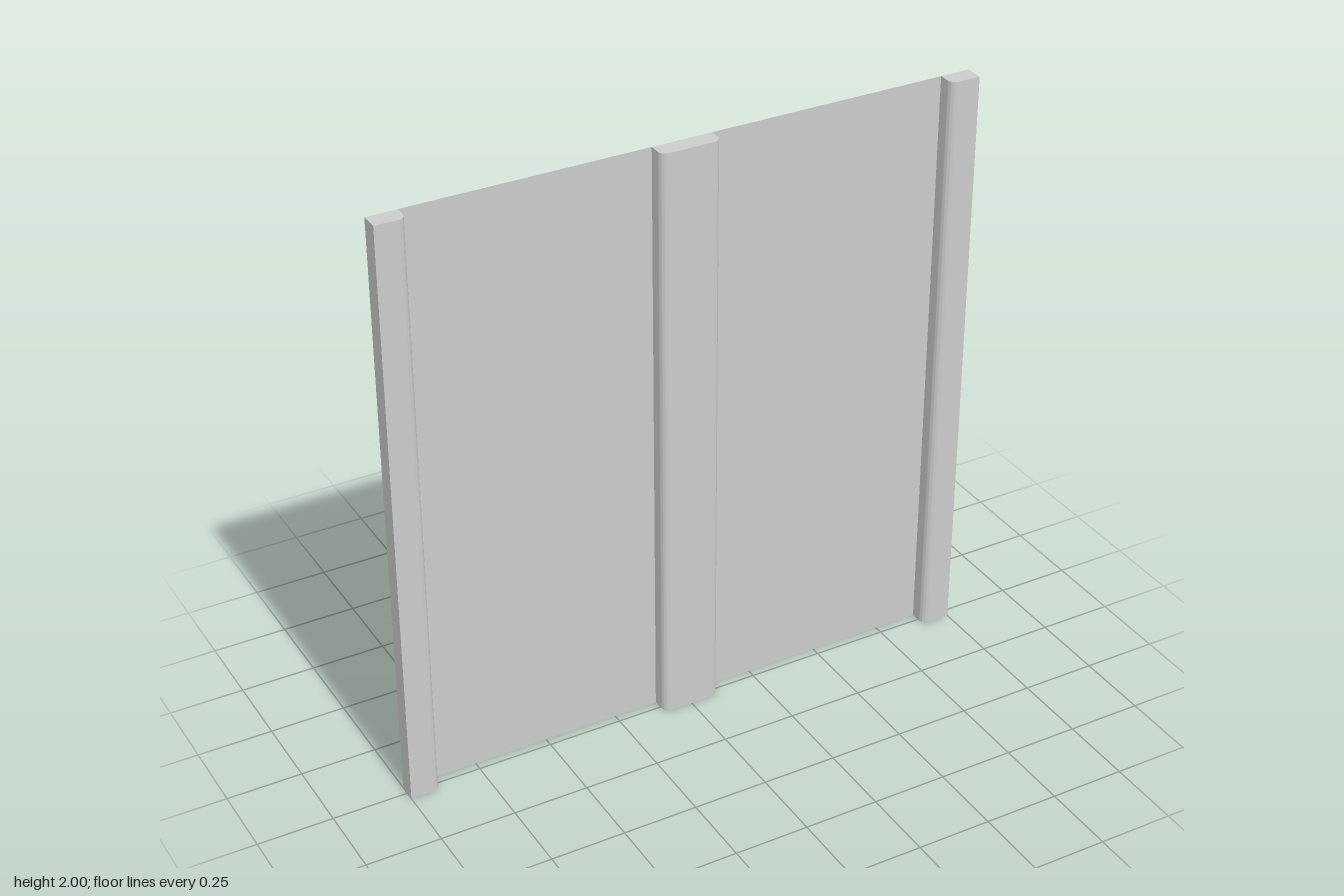
import * as THREE from 'three';
import { toCreasedNormals } from 'three/addons/utils/BufferGeometryUtils.js';

const HEIGHT = 2, BACK = -0.03, FRONT = 0.03, RADIUS = 0.025;

// Upright strip from x0 to x1, with its chosen front edges rounded over
function batten(name, x0, x1, roundLeft, roundRight, material) {
  const a = roundLeft ? RADIUS : 0;
  const b = roundRight ? RADIUS : 0;
  const s = new THREE.Shape(); // plan outline, shape y = -z
  s.moveTo(x0, -BACK);
  s.lineTo(x0, -FRONT + a);
  if (a) s.absarc(x0 + a, -FRONT + a, a, Math.PI, Math.PI * 1.5, false);
  s.lineTo(x1 - b, -FRONT);
  if (b) s.absarc(x1 - b, -FRONT + b, b, Math.PI * 1.5, Math.PI * 2, false);
  s.lineTo(x1, -BACK);
  s.closePath();
  const geo = new THREE.ExtrudeGeometry(s, { depth: HEIGHT, bevelEnabled: false, curveSegments: 6 });
  geo.rotateX(-Math.PI / 2);
  const mesh = new THREE.Mesh(toCreasedNormals(geo, Math.PI / 6), material);
  mesh.name = name;
  return mesh;
}

export function createModel() {
  const group = new THREE.Group();
  group.name = 'battenPanel';
  const material = new THREE.MeshStandardMaterial({ color: 0xcccccc });

  // Thin backing sheet
  const sheet = new THREE.Mesh(
    new THREE.PlaneGeometry(2, HEIGHT),
    new THREE.MeshStandardMaterial({ color: 0xcccccc, side: THREE.DoubleSide })
  );
  sheet.name = 'backSheet';
  sheet.position.set(0, HEIGHT / 2, BACK);
  group.add(sheet);

  // Full batten in the middle, half battens at the edges
  group.add(
    batten('rightBatten', -1, -0.9, false, true, material),
    batten('middleBatten', -0.1, 0.1, true, true, material),
    batten('leftBatten', 0.9, 1, true, false, material)
  );
  return group;
}
